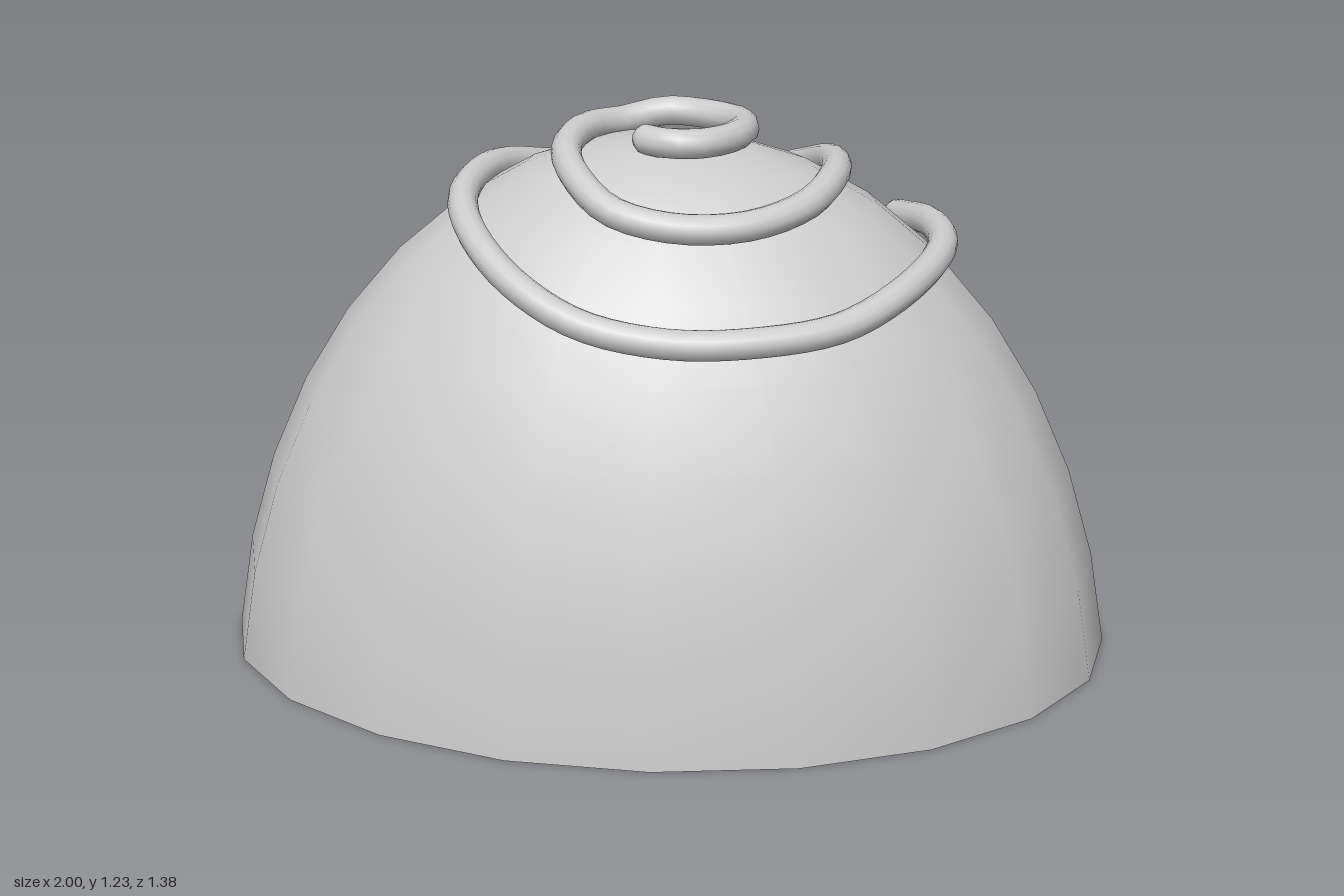
import * as THREE from 'three';

const material = new THREE.MeshStandardMaterial({ color: 0xcccccc });

// Dome: an ellipsoid cut 81 degrees below its pole, standing on y = 0
const CUT = THREE.MathUtils.degToRad(81);
const RX = 1 / Math.sin(CUT), RZ = 0.69 / Math.sin(CUT), RY = 1.405;
const SINK = RY * Math.cos(CUT);
const TUBE = 0.033;

const domeHeight = (x, z) => RY * Math.sqrt(1 - (x / RX) ** 2 - (z / RZ) ** 2) - SINK;

// Spiral in plan (x, z), from the middle outwards
const spiralPlan = [
  [-0.04, 0.09], [0, 0.118], [0.07, 0.12], [0.14, 0.06], [0.165, -0.025], [0.14, -0.09],
  [0.06, -0.145], [-0.015, -0.16], [-0.11, -0.125], [-0.18, -0.05], [-0.215, 0.08],
  [-0.185, 0.185], [-0.105, 0.275], [0.03, 0.31], [0.18, 0.285], [0.3, 0.2], [0.36, 0.06],
  [0.355, -0.105], [0.29, -0.25], [0.17, -0.345], [0.03, -0.37], [-0.135, -0.35],
  [-0.29, -0.265], [-0.395, -0.115], [-0.44, 0.08], [-0.4, 0.225], [-0.3, 0.35],
  [-0.16, 0.43], [0.02, 0.46], [0.2, 0.44], [0.38, 0.37], [0.52, 0.235], [0.6, 0.02],
  [0.575, -0.13], [0.51, -0.255],
];

function add(group, name, geometry) {
  const mesh = new THREE.Mesh(geometry, material);
  mesh.name = name;
  group.add(mesh);
  return mesh;
}

export function createModel() {
  const model = new THREE.Group();
  model.name = 'domeWithSpiral';

  const dome = new THREE.SphereGeometry(1, 20, 9, 0, Math.PI * 2, 0, CUT);
  dome.scale(RX, RY, RZ);
  dome.translate(0, -SINK, 0);
  add(model, 'dome', dome);

  // Flat underside with the same 20 corners
  const base = new THREE.CircleGeometry(1, 20);
  base.rotateX(Math.PI / 2);
  base.scale(1, 1, 0.69);
  add(model, 'base', base);

  // Cord: level around the top, then resting on the dome, its tail slightly lifted
  const last = spiralPlan.length - 1;
  const path = spiralPlan.map(([x, z], i) => {
    const lift = 0.026 + 0.03 * THREE.MathUtils.smoothstep(i, last - 4, last);
    const y = i < 8 ? 1.195 : domeHeight(x, z) + lift;
    return new THREE.Vector3(x, y, z);
  });
  const cord = new THREE.Group();
  cord.name = 'spiralCord';
  model.add(cord);
  const curve = new THREE.CatmullRomCurve3(path, false, 'centripetal');
  add(cord, 'cord', new THREE.TubeGeometry(curve, 120, TUBE, 12));

  // Rounded ends
  for (const [name, point] of [['innerEnd', path[0]], ['outerEnd', path[last]]]) {
    add(cord, name, new THREE.SphereGeometry(TUBE, 12, 8)).position.copy(point);
  }
  return model;
}
